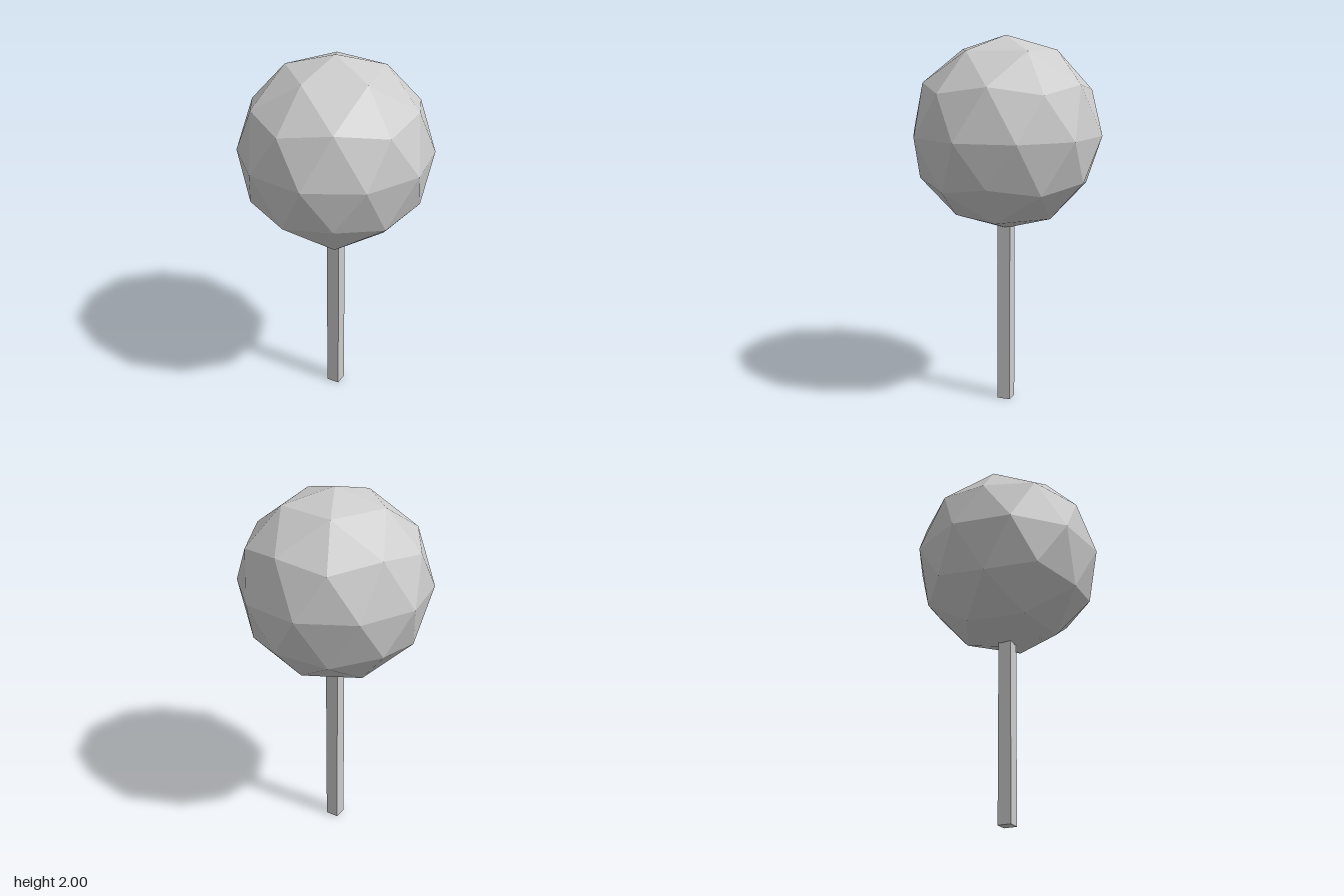
import * as THREE from 'three';

export function createModel() {
  const model = new THREE.Group();
  const grey = new THREE.MeshStandardMaterial({ color: 0xcccccc, flatShading: true });
  grey.name = 'light grey';

  // Faceted ball, turned so that one corner points straight up
  const ballGeometry = new THREE.IcosahedronGeometry(0.512, 1);
  ballGeometry.rotateZ(-Math.atan(2 / (1 + Math.sqrt(5))));
  const ball = new THREE.Mesh(ballGeometry, grey);
  ball.name = 'ball';
  ball.position.y = 1.488;
  model.add(ball);

  // Square stick with its corners on the x and z axes, ending inside the ball
  const stickHeight = 1.05;
  const stick = new THREE.Mesh(new THREE.CylinderGeometry(0.051, 0.051, stickHeight, 4), grey);
  stick.name = 'stick';
  stick.position.y = stickHeight / 2;
  model.add(stick);

  return model;
}
